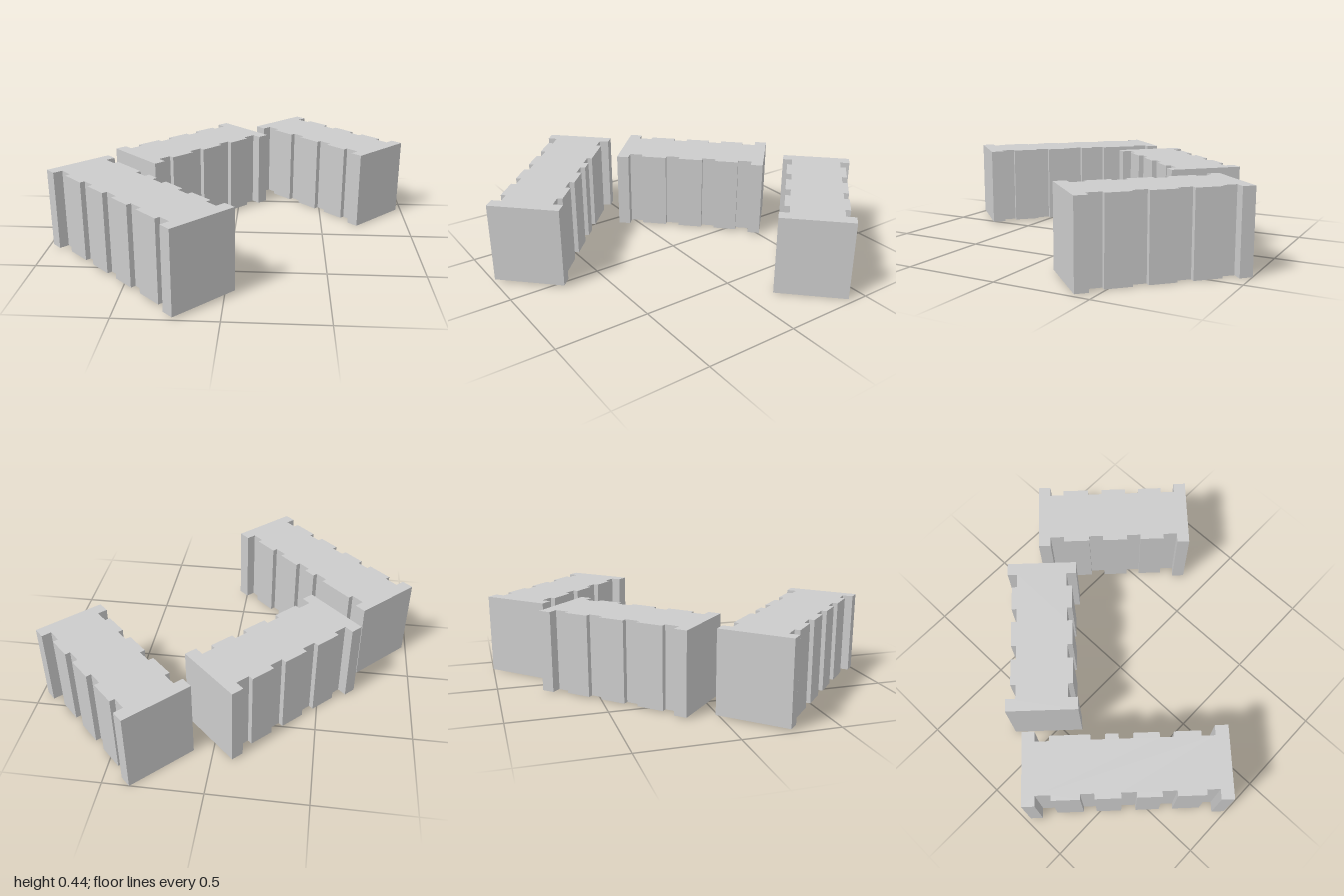
import * as THREE from 'three';

const HALF = 0.19;    // half width at the end walls
const BAY = 0.025;    // setback of the projecting bays
const RECESS = 0.053; // setback of the recesses between bays

// Bays along one side as [start, end]; the first and last are the end walls.
const shortSide = [[0, 0.067], [0.142, 0.285], [0.362, 0.5], [0.575, 0.707], [0.783, 0.85]];
const longInner = [[0, 0.065], [0.14, 0.35], [0.425, 0.495], [0.57, 0.705], [0.778, 0.918], [0.99, 1.06]];
const longOuter = [[0, 0.067], [0.147, 0.292], [0.363, 0.497], [0.575, 0.703], [0.778, 0.925], [0.993, 1.06]];

// Stepped outline of one side, centred lengthwise, with distance from the middle line.
function sideOutline(bays) {
  const length = bays[bays.length - 1][1];
  const points = [];
  bays.forEach(([start, end], i) => {
    const isEnd = i === 0 || i === bays.length - 1;
    const d = HALF - (isEnd ? 0 : BAY);
    if (i > 0) points.push([start - length / 2, HALF - RECESS], [start - length / 2, d]);
    else points.push([start - length / 2, d]);
    points.push([end - length / 2, d]);
    if (i < bays.length - 1) points.push([end - length / 2, HALF - RECESS]);
  });
  return points;
}

// Footprint with a stepped outline on both long sides, extruded upwards.
function building(name, backBays, frontBays, height, position, degrees, material) {
  const front = sideOutline(frontBays).map(([x, d]) => new THREE.Vector2(x, -d));
  const back = sideOutline(backBays).reverse().map(([x, d]) => new THREE.Vector2(x, d));
  const geometry = new THREE.ExtrudeGeometry(new THREE.Shape([...front, ...back]), {
    depth: height, bevelEnabled: false,
  });
  geometry.rotateX(-Math.PI / 2);
  const mesh = new THREE.Mesh(geometry, material);
  mesh.name = name;
  mesh.position.set(...position);
  mesh.rotation.y = THREE.MathUtils.degToRad(degrees);
  return mesh;
}

export function createModel() {
  const group = new THREE.Group();
  group.name = 'buildingBlocks';
  const material = new THREE.MeshStandardMaterial({ color: 0xcccccc, flatShading: true });
  group.add(
    building('longBuilding', longInner, longOuter, 0.43, [-0.465, 0.01, 0.486], -44.3, material),
    building('middleBuilding', shortSide, shortSide, 0.431, [-0.264, 0.006, -0.333], 45.6, material),
    building('rearBuilding', shortSide, shortSide, 0.429, [0.535, 0, -0.568], -44.3, material),
  );
  return group;
}
